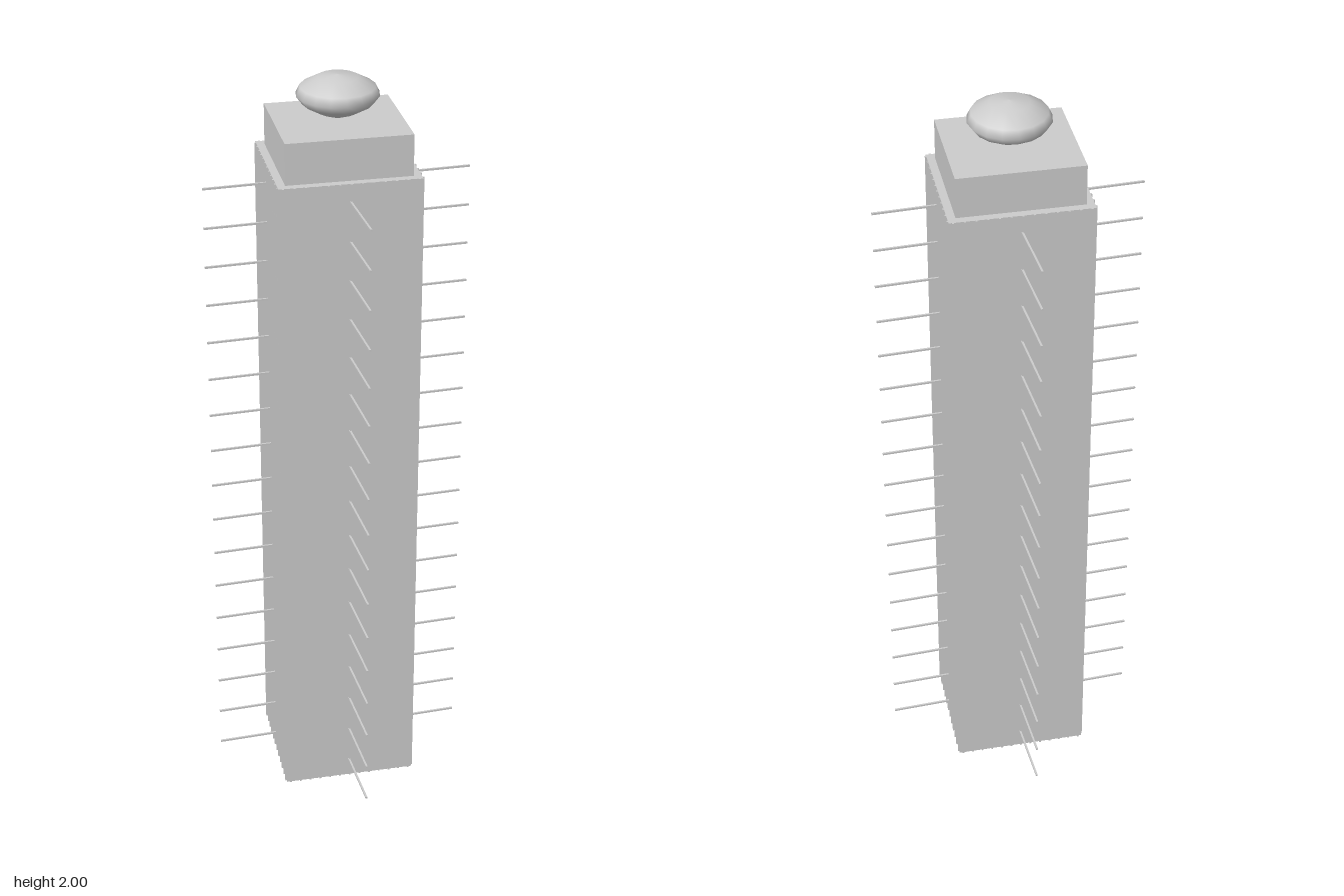
import * as THREE from 'three';

export function createModel() {
  const model = new THREE.Group();
  model.name = 'tower';
  const concrete = new THREE.MeshStandardMaterial({ color: 0xcccccc });
  concrete.name = 'pale grey';

  const add = (parent, geometry, name, x = 0, y = 0, z = 0) => {
    const mesh = new THREE.Mesh(geometry, concrete);
    mesh.name = name;
    mesh.position.set(x, y, z);
    parent.add(mesh);
    return mesh;
  };

  // Shaft and roof block, turned almost corner-on to the front
  const W = 0.357, D = 0.327, H = 1.78;
  const body = new THREE.Group();
  body.name = 'body';
  body.rotation.y = 0.757;
  model.add(body);
  add(body, new THREE.BoxGeometry(W, H, D), 'shaft', 0, H / 2, 0);
  add(body, new THREE.BoxGeometry(W - 0.04, 0.106, D - 0.04), 'roofBlock', 0, H + 0.053, 0);

  // Thin vertical ribs on all four faces
  const rib = new THREE.BoxGeometry(0.005, H, 0.005);
  const pitch = 0.028;
  const ribRow = (count, place) => {
    for (let i = 0; i < count; i++) {
      const t = (i - (count - 1) / 2) * pitch;
      for (const side of [-1, 1]) add(body, rib, 'rib', ...place(t, side));
    }
  };
  ribRow(13, (t, s) => [t, H / 2, s * (D / 2 + 0.001)]);
  ribRow(12, (t, s) => [s * (W / 2 + 0.001), H / 2, t]);

  // Horizontal rods projecting from each face at regular levels
  const rods = [
    [0.127, -0.122, 0.241, -0.241],
    [-0.127, 0.122, -0.241, 0.241],
    [0.108, 0.117, 0.241, 0.241],
    [-0.108, -0.117, -0.241, -0.241],
  ];
  for (const [x0, z0, x1, z1] of rods) {
    const dx = x1 - x0, dz = z1 - z0;
    const geometry = new THREE.BoxGeometry(Math.hypot(dx, dz), 0.005, 0.005);
    for (let level = 0; level < 17; level++) {
      const rod = add(model, geometry, 'rod', (x0 + x1) / 2, 0.053 + level * 0.105, (z0 + z1) / 2);
      rod.rotation.y = Math.atan2(-dz, dx);
    }
  }

  // Flattened dome resting on the roof block
  const profile = [
    [0, 1.887], [0.05, 1.907], [0.088, 1.929], [0.104, 1.95],
    [0.094, 1.97], [0.05, 1.994], [0, 2.0],
  ].map(([r, y]) => new THREE.Vector2(r, y));
  add(model, new THREE.LatheGeometry(profile, 16), 'dome');

  return model;
}
